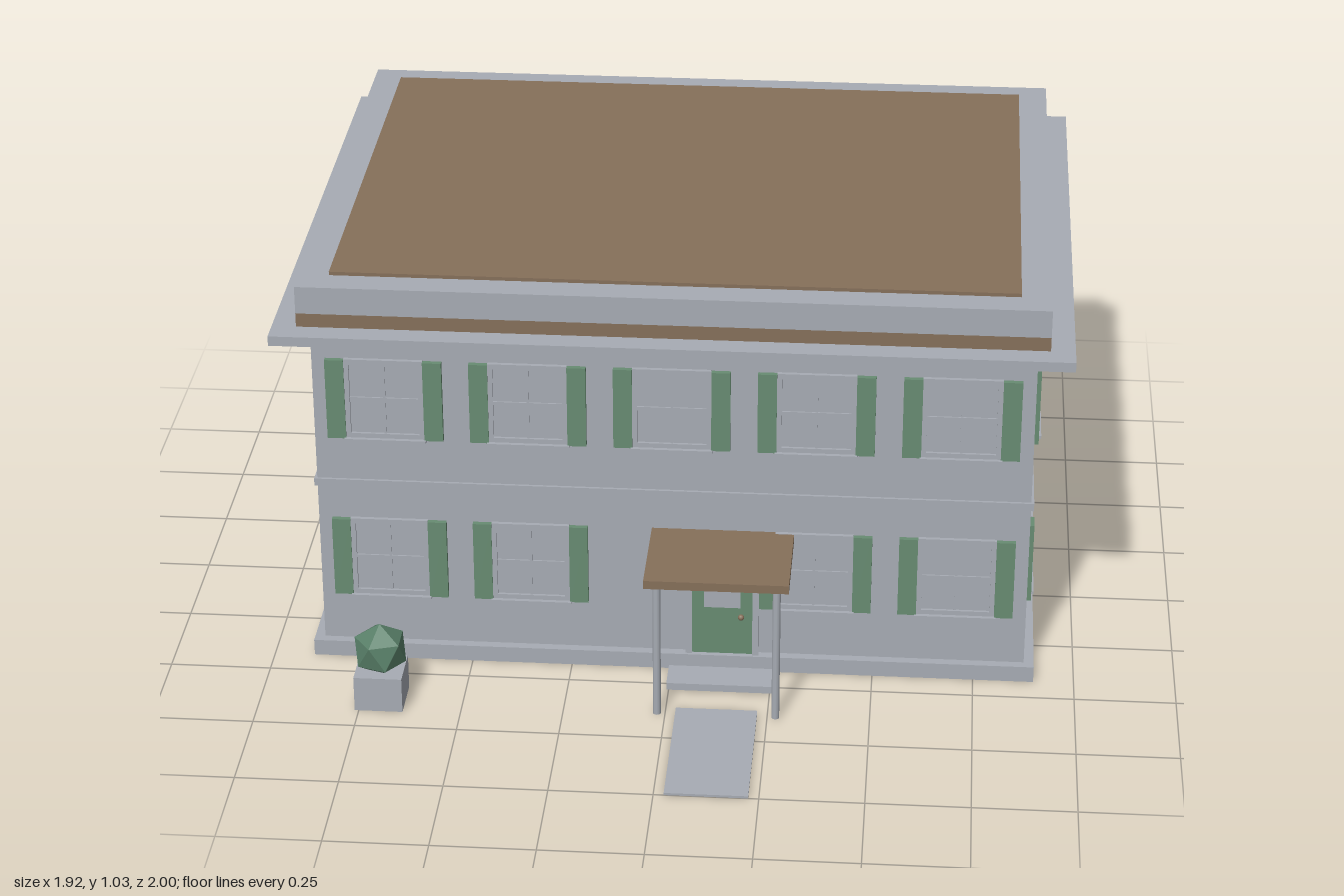
import * as THREE from 'three';

const mat = (name, color) => {
  const m = new THREE.MeshStandardMaterial({ color });
  m.name = name;
  return m;
};

export function createModel() {
  const grey = mat('greyPaint', 0xa7acb4);
  const brown = mat('brownRoofing', 0x86705a);
  const green = mat('greenPaint', 0x688c72);
  const leaf = mat('leafGreen', 0x587f68);
  const model = new THREE.Group();
  model.name = 'house';

  // Box given by its limits on each axis
  const box = (parent, name, material, [x0, x1], [y0, y1], [z0, z1]) => {
    const mesh = new THREE.Mesh(new THREE.BoxGeometry(x1 - x0, y1 - y0, z1 - z0), material);
    mesh.position.set((x0 + x1) / 2, (y0 + y1) / 2, (z0 + z1) / 2);
    mesh.name = name;
    parent.add(mesh);
    return mesh;
  };

  // Main block: stacked layers sharing one centre
  const midZ = -0.256;
  const layer = (name, material, hx, hz, y0, y1) =>
    box(model, name, material, [-hx, hx], [y0, y1], [midZ - hz, midZ + hz]);
  layer('plinth', grey, 0.9, 0.682, 0, 0.042);
  layer('walls', grey, 0.875, 0.659, 0.042, 0.895);
  layer('stringCourse', grey, 0.882, 0.666, 0.475, 0.495);
  layer('cornice', grey, 0.962, 0.744, 0.895, 0.92);
  layer('roofBand', brown, 0.903, 0.686, 0.92, 0.955);
  layer('parapet', grey, 0.903, 0.686, 0.955, 1.025);
  layer('roofDeck', brown, 0.83, 0.614, 1.025, 1.034);

  // Window with sash bars, sill and a shutter on each side, facing local +z
  const addWindow = (wall, x, y) => {
    const g = new THREE.Group();
    g.name = 'window';
    g.position.set(x, y, 0);
    box(g, 'pane', grey, [-0.085, 0.085], [-0.095, 0.095], [0, 0.003]);
    for (const s of [-1, 1]) {
      box(g, 'frameSide', grey, [s * 0.09 - 0.006, s * 0.09 + 0.006], [-0.105, 0.105], [0, 0.01]);
      box(g, 'frameRail', grey, [-0.096, 0.096], [s * 0.1 - 0.007, s * 0.1 + 0.007], [0, 0.01]);
      box(g, 'shutter', green, [s * 0.119 - 0.023, s * 0.119 + 0.023], [-0.107, 0.105], [0, 0.013]);
    }
    box(g, 'meetingRail', grey, [-0.085, 0.085], [-0.004, 0.004], [0, 0.007]);
    box(g, 'centreBar', grey, [-0.003, 0.003], [-0.095, 0.095], [0, 0.006]);
    box(g, 'sill', grey, [-0.1, 0.1], [-0.113, -0.105], [0, 0.02]);
    wall.add(g);
  };

  // Each wall: turn about y, distance from centre, window columns
  const walls = [
    ['frontWindows', 0, 0.659, [-0.7, -0.35, 0, 0.35, 0.7]],
    ['backWindows', Math.PI, 0.659, [-0.665, -0.222, 0.222, 0.665]],
    ['leftWindows', Math.PI / 2, 0.875, [-0.438, 0, 0.438]],
    ['rightWindows', -Math.PI / 2, 0.875, [-0.438, 0, 0.438]],
  ];
  for (const [name, turn, distance, columns] of walls) {
    const wall = new THREE.Group();
    wall.name = name;
    wall.rotation.y = turn;
    wall.position.set(Math.sin(turn) * distance, 0, midZ + Math.cos(turn) * distance);
    for (const x of columns) {
      addWindow(wall, x, 0.72);
      // The door takes the place of the lower middle window
      if (name !== 'frontWindows' || x !== 0) addWindow(wall, x, 0.281);
    }
    model.add(wall);
  }

  // Front door
  const door = new THREE.Group();
  door.name = 'frontDoor';
  door.position.set(0.125, 0, 0.403);
  for (const s of [-1, 1])
    box(door, 'doorJamb', grey, [s * 0.083 - 0.008, s * 0.083 + 0.008], [0.042, 0.325], [0, 0.016]);
  box(door, 'doorHead', grey, [-0.075, 0.075], [0.31, 0.325], [0, 0.016]);
  box(door, 'doorLeaf', green, [-0.075, 0.075], [0.042, 0.31], [0, 0.01]);
  box(door, 'doorPane', grey, [-0.045, 0.045], [0.175, 0.27], [0.01, 0.014]);
  const knob = new THREE.Mesh(new THREE.SphereGeometry(0.008, 10, 8), brown);
  knob.name = 'doorKnob';
  knob.position.set(0.047, 0.15, 0.016);
  door.add(knob);
  model.add(door);

  // Porch canopy, posts, step and front path
  box(model, 'canopy', brown, [-0.05, 0.3], [0.365, 0.387], [0.403, 0.665]);
  for (const x of [-0.02, 0.27]) {
    const post = new THREE.Mesh(new THREE.CylinderGeometry(0.01, 0.01, 0.365, 10), grey);
    post.name = 'porchPost';
    post.position.set(x, 0.1825, 0.637);
    model.add(post);
  }
  box(model, 'step', grey, [-0.005, 0.255], [0.004, 0.023], [0.45, 0.535]);
  box(model, 'path', grey, [0.025, 0.225], [0, 0.006], [0.62, 1]);

  // Planter with a faceted bush, one vertex pointing up
  box(model, 'planter', grey, [-0.76, -0.642], [0, 0.092], [0.562, 0.68]);
  const bushShape = new THREE.IcosahedronGeometry(0.07, 0);
  bushShape.rotateZ(Math.atan(2 / (1 + Math.sqrt(5))));
  const bush = new THREE.Mesh(bushShape, leaf);
  bush.name = 'bush';
  bush.position.set(-0.7, 0.142, 0.62);
  model.add(bush);

  return model;
}
